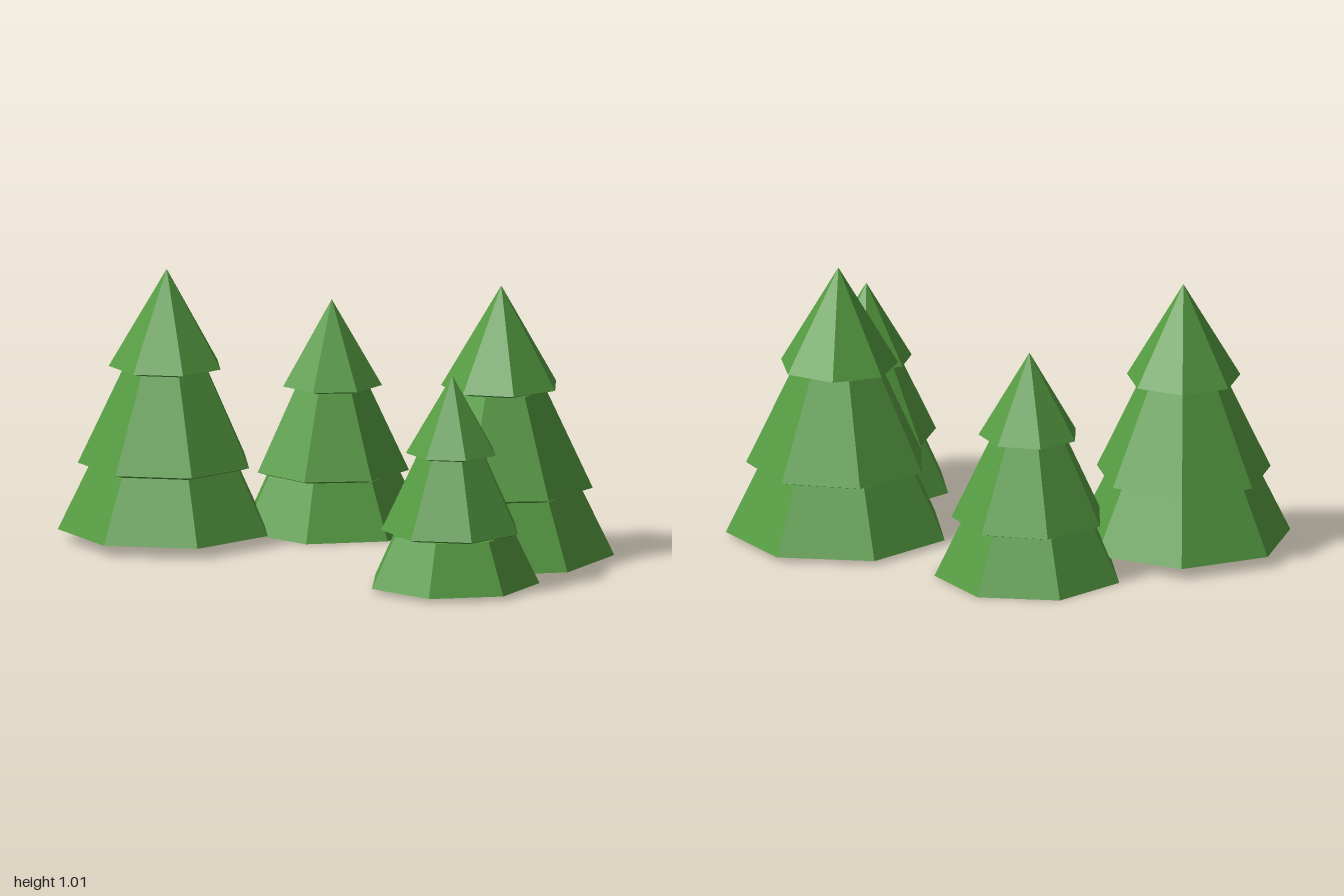
import * as THREE from 'three';

const SIDES = 7;
const foliage = new THREE.MeshStandardMaterial({ color: 0x559b41, flatShading: true });

// Tier profiles (radius, height) for a tree of height 1, from the axis below to the axis above
const TIERS = [
  { name: 'lowerBranches', profile: [[0, 0], [0.413, 0], [0.295, 0.243], [0, 0.25]] },
  { name: 'middleBranches', profile: [[0, 0.236], [0.295, 0.243], [0.337, 0.256], [0.167, 0.614], [0, 0.62]] },
  { name: 'treeTop', profile: [[0, 0.605], [0.167, 0.614], [0.22, 0.628], [0, 1]] },
];

// Each tree: apex position, base height, total height and the turn of each tier in degrees
const TREES = [
  { name: 'leftTree', x: 0.615, z: -0.135, base: 0.015, height: 0.995, turns: [-24, -19, 0] },
  { name: 'frontTree', x: 0.685, z: 0.4, base: 0.015, height: 0.767, turns: [-24, -4, -5] },
  { name: 'backTree', x: -0.195, z: -0.375, base: 0, height: 0.84, turns: [-24, -19, -18] },
  { name: 'rightTree', x: -0.627, z: 0.1, base: 0.04, height: 0.96, turns: [-4.5, -4.5, -4.5] },
];

// A seven-sided tier; the turn is the angle of one corner from +x towards +z
function makeTier({ name, profile }, turn) {
  const points = profile.map(([r, y]) => new THREE.Vector2(r, y));
  const start = Math.PI / 2 - THREE.MathUtils.degToRad(turn);
  const mesh = new THREE.Mesh(new THREE.LatheGeometry(points, SIDES, start), foliage);
  mesh.name = name;
  return mesh;
}

function makeTree({ name, x, z, base, height, turns }) {
  const tree = new THREE.Group();
  tree.name = name;
  TIERS.forEach((tier, i) => tree.add(makeTier(tier, turns[i])));
  tree.position.set(x, base, z);
  tree.scale.setScalar(height);
  return tree;
}

export function createModel() {
  const model = new THREE.Group();
  model.name = 'pineTrees';
  TREES.forEach((tree) => model.add(makeTree(tree)));
  return model;
}
